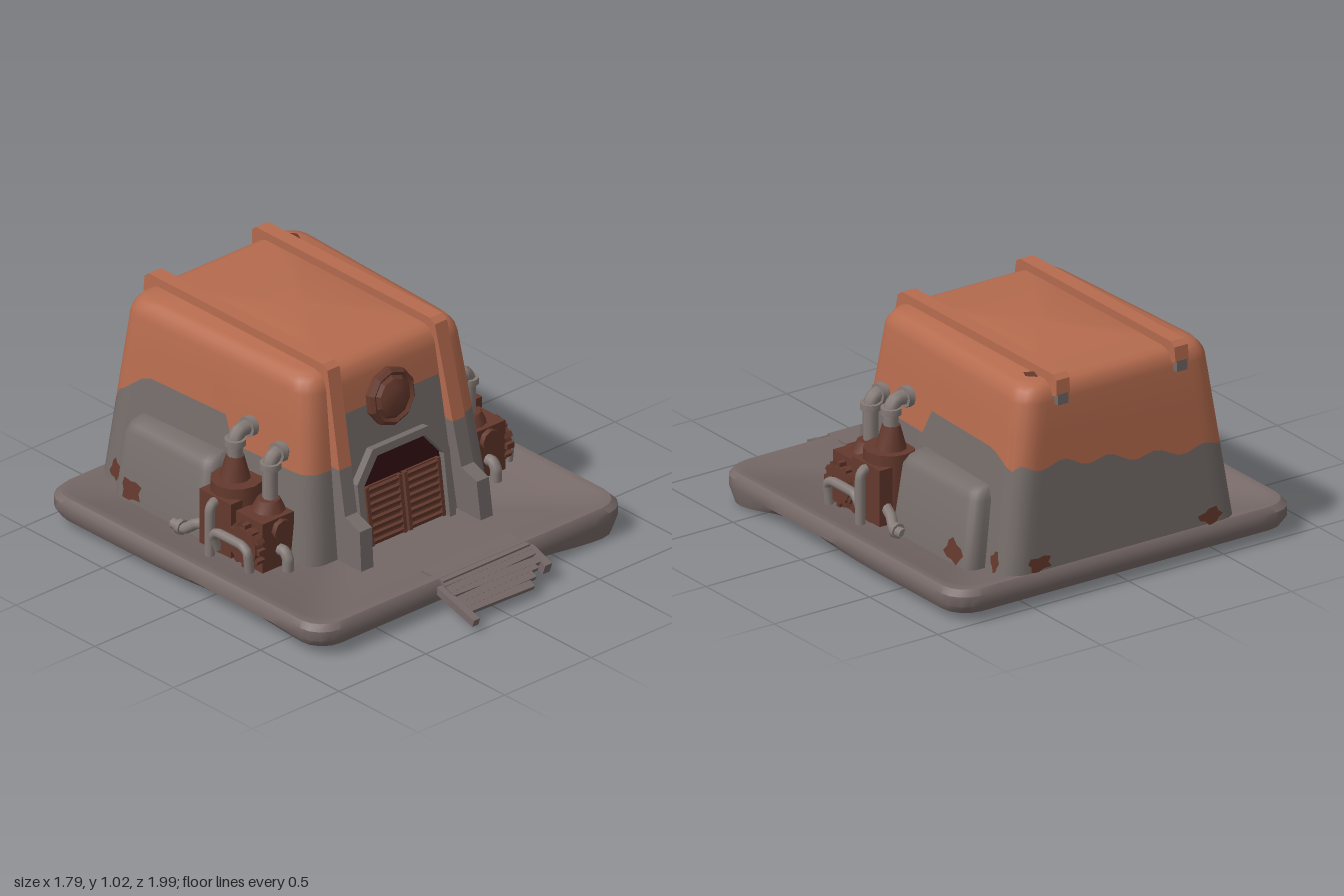
import * as THREE from 'three';
import { toCreasedNormals } from 'three/addons/utils/BufferGeometryUtils.js';

const { lerp, smoothstep, clamp } = THREE.MathUtils;
const V = (x, y, z) => new THREE.Vector3(x, y, z);
const material = (name, color, side = THREE.FrontSide) => {
  const m = new THREE.MeshStandardMaterial({ color, side });
  m.name = name;
  return m;
};

export function createModel() {
  const root = new THREE.Group();
  root.name = 'bunker';
  const orange = material('orange paint', 0xb56b4e);
  const steel = material('bare steel', 0x746c69);
  const slab = material('base grey', 0x766967);
  const rust = material('rust brown', 0x64392d);
  const pipeGrey = material('pipe grey', 0x857b77);
  const dark = material('dark red interior', 0x330e12);

  function add(name, geo, mat, pos = [0, 0, 0], parent = root) {
    const m = new THREE.Mesh(geo, mat);
    m.name = name;
    m.position.set(...pos);
    parent.add(m);
    return m;
  }
  const box = (name, size, pos, mat, parent) => add(name, new THREE.BoxGeometry(...size), mat, pos, parent);
  const tube = (name, pts, r, parent) => add(name, new THREE.TubeGeometry(
    new THREE.CatmullRomCurve3(pts, false, 'catmullrom', 0.25), 20, r, 8), pipeGrey, [0, 0, 0], parent);
  function beam(name, a, b, w, h, mat) {
    const m = box(name, [w, h, a.distanceTo(b)], a.clone().lerp(b, 0.5).toArray(), mat);
    m.lookAt(b);
    return m;
  }

  // Rounded outline, counter-clockwise from above, always the same point count
  function outline(hwF, hwB, zF, zB, r) {
    const centres = [[hwB - r, zB + r], [r - hwB, zB + r], [r - hwF, zF - r], [hwF - r, zF - r]];
    const arc = (k, j) => {
      const a = (k + j / 4) * Math.PI / 2, c = centres[k % 4];
      return [c[0] + r * Math.cos(a), c[1] - r * Math.sin(a)];
    };
    const pts = [];
    for (let k = 0; k < 4; k++) {
      for (let j = 0; j <= 4; j++) pts.push(arc(k, j));
      const a = arc(k, 4), b = arc((k + 1) % 4, 0);
      for (let j = 1; j < 22; j++) pts.push([lerp(a[0], b[0], j / 22), lerp(a[1], b[1], j / 22)]);
    }
    return pts;
  }
  // Skin over rings of [x, y, z] points, listed from the bottom upwards
  function loft(rings, crease = 0.7) {
    const n = rings[0].length, index = [];
    for (let k = 0; k < rings.length - 1; k++) for (let i = 0; i < n; i++) {
      const a = k * n + i, b = k * n + (i + 1) % n;
      index.push(a, b, b + n, a, b + n, a + n);
    }
    const g = new THREE.BufferGeometry();
    g.setAttribute('position', new THREE.Float32BufferAttribute(rings.flat(2), 3));
    g.setIndex(index);
    return toCreasedNormals(g, crease);
  }

  // Base slab with a sagging underside and a slim raised rim
  const under = (x, z) => 0.042 + 0.03 * Math.exp(-(((z - 0.2) / 0.3) ** 2))
    - 0.042 * smoothstep(z, 0.25, 0.65) * smoothstep(x, 0.3, 0.78);
  const baseRing = (inset, y, s = 1) => outline(0.895 - inset, 0.895 - inset, 0.76 - inset, -1 + inset, 0.12)
    .map(([x, z]) => [x * s, y ?? under(x * s, z * s), z * s]);
  add('baseSlab', loft([
    baseRing(0, null, 0), baseRing(0, null, 0.3), baseRing(0, null, 0.6), baseRing(0, null, 0.85),
    baseRing(0.02), baseRing(0, 0.08), baseRing(0, 0.125), baseRing(0.02, 0.15),
    baseRing(0.055, 0.15), baseRing(0.075, 0.138), baseRing(0, 0.138, 0)]), slab);

  // Entry ramp of staggered boards between two curbs
  box('rampLanding', [0.5, 0.06, 0.14], [0.06, 0.118, 0.7], slab);
  for (let i = 0; i < 6; i++) {
    const z = 0.765 + i * 0.029, w = 0.5 - (i > 2 ? (i - 2) * 0.04 : 0);
    const board = box('rampBoard', [w, 0.022, 0.036], [-0.19 + w / 2, 0.13 - i * 0.015, z], slab);
    board.rotation.set(0.45, 0.03 * Math.sin(i * 2.3), 0);
  }
  beam('rampCurb', V(-0.2, 0.125, 0.7), V(-0.2, 0.04, 0.99), 0.035, 0.035, slab);
  beam('rampCurb', V(0.32, 0.125, 0.7), V(0.32, 0.065, 0.87), 0.04, 0.05, slab);

  // Tapered shell, split along the uneven paint line
  const shellAt = y => {
    const t = clamp((y - 0.12) / 0.83, 0, 1), s = clamp((y - 0.9) / 0.08, 0, 1);
    const d = 0.06 * (1 - Math.sqrt(1 - s * s));
    return outline(lerp(0.54, 0.455, t) - d, lerp(0.61, 0.49, t) - d,
      lerp(0.31, 0.195, t) - d, lerp(-0.98, -0.93, t) + d, 0.09);
  };
  const paintLine = shellAt(0.6).map(([x, z]) => {
    if (z > 0.2 && Math.abs(x) < 0.31) return 0.765;
    if (z < -0.9) return lerp(0.5, 0.62, smoothstep(x, -0.5, 0.5)) + 0.018 * Math.sin(x * 26);
    if (z > -0.22) return 0.545;
    return lerp(0.66, x > 0 ? 0.6 : 0.54, smoothstep(-z, 0.72, 0.92));
  });
  const shellRing = heights => heights.map((y, i) => {
    const [x, z] = shellAt(y)[i];
    return [x, y, z];
  });
  const between = (f, lo, hi) => shellRing(paintLine.map(p => lerp(lo ?? p, hi ?? p, f)));
  add('lowerShell', loft([0, 0.25, 0.5, 0.75, 1].map(f => between(f, 0.12, null))), steel);
  const level = y => shellRing(paintLine.map(() => y));
  add('upperShell', loft([
    between(0, null, 0.9), between(0.5, null, 0.9), level(0.9), level(0.925), level(0.95), level(0.968), level(0.98),
    level(0.98).map(() => [0, 0.985, -0.36])]), orange);

  // Two ribs running up the front and over the roof
  function rib(name, pts, side, mat) {
    const g = new THREE.ExtrudeGeometry(new THREE.Shape(pts.map(p => new THREE.Vector2(...p))),
      { depth: 0.07, bevelEnabled: false });
    g.rotateY(-Math.PI / 2);
    const p = g.attributes.position;
    for (let i = 0; i < p.count; i++) {
      p.setX(i, p.getX(i) + 0.035 + side * (0.31 + 0.04 * (1 - p.getY(i))));
    }
    g.computeVertexNormals();
    add(name, g, mat);
  }
  for (const s of [-1, 1]) {
    rib('ribFoot', [[0.28, 0.12], [0.46, 0.12], [0.44, 0.32], [0.345, 0.355], [0.3, 0.56], [0.23, 0.56]], s, steel);
    rib('roofRib', [[0.23, 0.56], [0.3, 0.56], [0.205, 1.0], [0.175, 1.02], [-0.93, 1.02], [-0.955, 1.0],
      [-0.96, 0.93], [-0.92, 0.92], [-0.88, 0.96], [0.15, 0.96]], s, orange);
    box('ribEndClip', [0.055, 0.05, 0.03], [s * 0.312, 0.91, -0.945], steel);
  }

  // Doorway and round boss on the sloping front wall
  const front = new THREE.Group();
  front.name = 'frontWall';
  front.position.set(0.005, 0.13, 0.312);
  front.rotation.x = -0.138;
  root.add(front);
  const arch = (w, h, c) => [[-w, 0], [w, 0], [w, h - c], [w - c * 0.8, h], [c * 0.8 - w, h], [-w, h - c]]
    .map(p => new THREE.Vector2(...p));
  const frame = new THREE.Shape(arch(0.265, 0.45, 0.13));
  frame.holes.push(new THREE.Path(arch(0.23, 0.415, 0.115)));
  add('doorFrame', new THREE.ExtrudeGeometry(frame, { depth: 0.04, bevelEnabled: false }), steel, [0, 0, -0.005], front);
  add('doorOpening', new THREE.ShapeGeometry(new THREE.Shape(arch(0.24, 0.425, 0.12))), dark, [0, 0, 0.004], front);
  for (const s of [-1, 1]) {
    box('doorLeaf', [0.208, 0.27, 0.012], [s * 0.111, 0.15, 0.01], rust, front);
    for (const e of [-1, 1]) box('doorStile', [0.018, 0.27, 0.024], [s * 0.111 + e * 0.095, 0.15, 0.016], rust, front);
    for (let i = 0; i < 8; i++) {
      box('doorSlat', [0.175, 0.02, 0.014], [s * 0.111, 0.03 + i * 0.034, 0.02], rust, front).rotation.x = 0.5;
    }
  }
  const bossProfile = [[0.13, -0.01], [0.132, 0.025], [0.115, 0.04], [0.1, 0.03], [0.085, 0.045], [0.05, 0.058], [0, 0.062]];
  const boss = new THREE.LatheGeometry(bossProfile.map(p => new THREE.Vector2(...p)), 10).rotateX(Math.PI / 2);
  add('roundBoss', toCreasedNormals(boss, 0.4), rust, [-0.015, 0.645, 0], front);

  // Side housings, leaning inwards with the wall
  for (const s of [-1, 1]) {
    const ring = (y, w, inset) => outline(w, w, -0.2 - inset, -0.79 + inset, 0.05)
      .map(([x, z]) => [s * 0.5 + x, y, z]);
    add('sideHousing', loft([ring(0.12, 0.19, 0), ring(0.44, 0.145, 0.015), ring(0.475, 0.125, 0.03),
      ring(0.495, 0.09, 0.05), ring(0.495, 0.09, 0.05).map(() => [s * 0.5, 0.495, -0.5])]), steel);
  }

  // Machinery beside each wall
  for (const s of [-1, 1]) {
    const g = new THREE.Group();
    g.name = s > 0 ? 'leftMachinery' : 'rightMachinery';
    root.add(g);
    const cyl = (name, r0, r1, h, pos, mat, n = 10, axis = 'y') => {
      const geo = new THREE.CylinderGeometry(r0, r1, h, n);
      if (axis === 'x') geo.rotateZ(Math.PI / 2);
      if (axis === 'z') geo.rotateX(Math.PI / 2);
      return add(name, toCreasedNormals(geo, 0.8), mat, [s * pos[0], pos[1], pos[2]], g);
    };
    const pipe = (name, r, pts) => tube(name, pts.map(p => V(s * p[0], p[1], p[2])), r, g);
    cyl('tank', 0.115, 0.115, 0.33, [0.6, 0.295, -0.09], rust, 12);
    cyl('tankNeck', 0.04, 0.07, 0.11, [0.6, 0.51, -0.1], rust);
    box('engineBlock', [0.18, 0.25, 0.17], [s * 0.61, 0.25, 0.1], rust, g);
    cyl('engineCap', 0.05, 0.08, 0.06, [0.58, 0.395, 0.09], rust);
    box('outerCasing', [0.07, 0.26, 0.2], [s * 0.69, 0.28, -0.09], rust, g);
    cyl('gear', 0.085, 0.085, 0.05, [0.715, 0.25, 0.1], rust, 14, 'x');
    for (let i = 0; i < 12; i++) {
      const a = i * Math.PI / 6;
      box('gearTooth', [0.04, 0.025, 0.025], [s * 0.715, 0.25 + 0.09 * Math.sin(a), 0.1 + 0.09 * Math.cos(a)],
        rust, g).rotation.x = -a;
    }
    cyl('frontCap', 0.05, 0.05, 0.03, [0.6, 0.32, 0.195], rust, 8, 'z');
    // Elbow pipes into the wall, with collars
    for (const [x, y, top, z] of [[0.6, 0.52, 0.675, -0.1], [0.57, 0.38, 0.625, 0.09]]) {
      pipe('elbowPipe', 0.034, [[x, y, z], [x, top - 0.04, z], [x - 0.03, top, z], [0.45, top, z]]);
      cyl('topCollar', 0.048, 0.048, 0.03, [x, top - 0.045, z], pipeGrey);
      cyl('wallCollar', 0.048, 0.048, 0.03, [0.52, top, z], pipeGrey, 10, 'x');
    }
    // Thin outer plumbing
    pipe('dropPipe', 0.023, [[0.69, 0.38, -0.09], [0.735, 0.385, -0.09], [0.755, 0.35, -0.09], [0.755, 0.14, -0.09]]);
    pipe('loopPipe', 0.022, [[0.745, 0.15, 0.15], [0.755, 0.24, 0.15], [0.755, 0.265, 0.11],
      [0.755, 0.265, -0.04], [0.755, 0.24, -0.07], [0.73, 0.17, -0.07]]);
    pipe('rearPipe', 0.025, [[0.68, 0.23, -0.17], [0.7, 0.21, -0.24], [0.72, 0.175, -0.29], [0.72, 0.175, -0.36]]);
    cyl('rearCollar', 0.035, 0.035, 0.025, [0.72, 0.175, -0.31], pipeGrey, 8, 'z');
    pipe('frontPipe', 0.026, [[0.6, 0.22, 0.16], [0.6, 0.22, 0.215], [0.6, 0.19, 0.235], [0.6, 0.13, 0.235]]);
  }

  // Ragged rust patches lying on the surfaces
  function patch(pos, normal, w, h, seed) {
    const pts = [];
    for (let i = 0; i < 11; i++) {
      const a = i / 11 * Math.PI * 2, r = 1 + 0.25 * Math.sin(i * 2.1 + seed);
      pts.push(new THREE.Vector2(w * r * Math.cos(a), h * r * Math.sin(a)));
    }
    const m = add('rustPatch', new THREE.ShapeGeometry(new THREE.Shape(pts)), rust, pos.toArray());
    m.lookAt(pos.clone().add(normal));
  }
  for (const s of [-1, 1]) {
    patch(V(s * 0.683, 0.195, -0.67), V(s, 0.14, 0), 0.06, 0.05, s);
    patch(V(s * 0.6, 0.19, -0.86), V(s, 0.14, 0), 0.03, 0.045, 2 + s);
    patch(V(s * 0.45, 0.185, -0.981), V(0, 0.06, -1), 0.06, 0.035, 4 + s);
  }
  patch(V(0.375, 0.988, -0.81), V(0, 1, 0.01), 0.025, 0.035, 1);
  return root;
}
